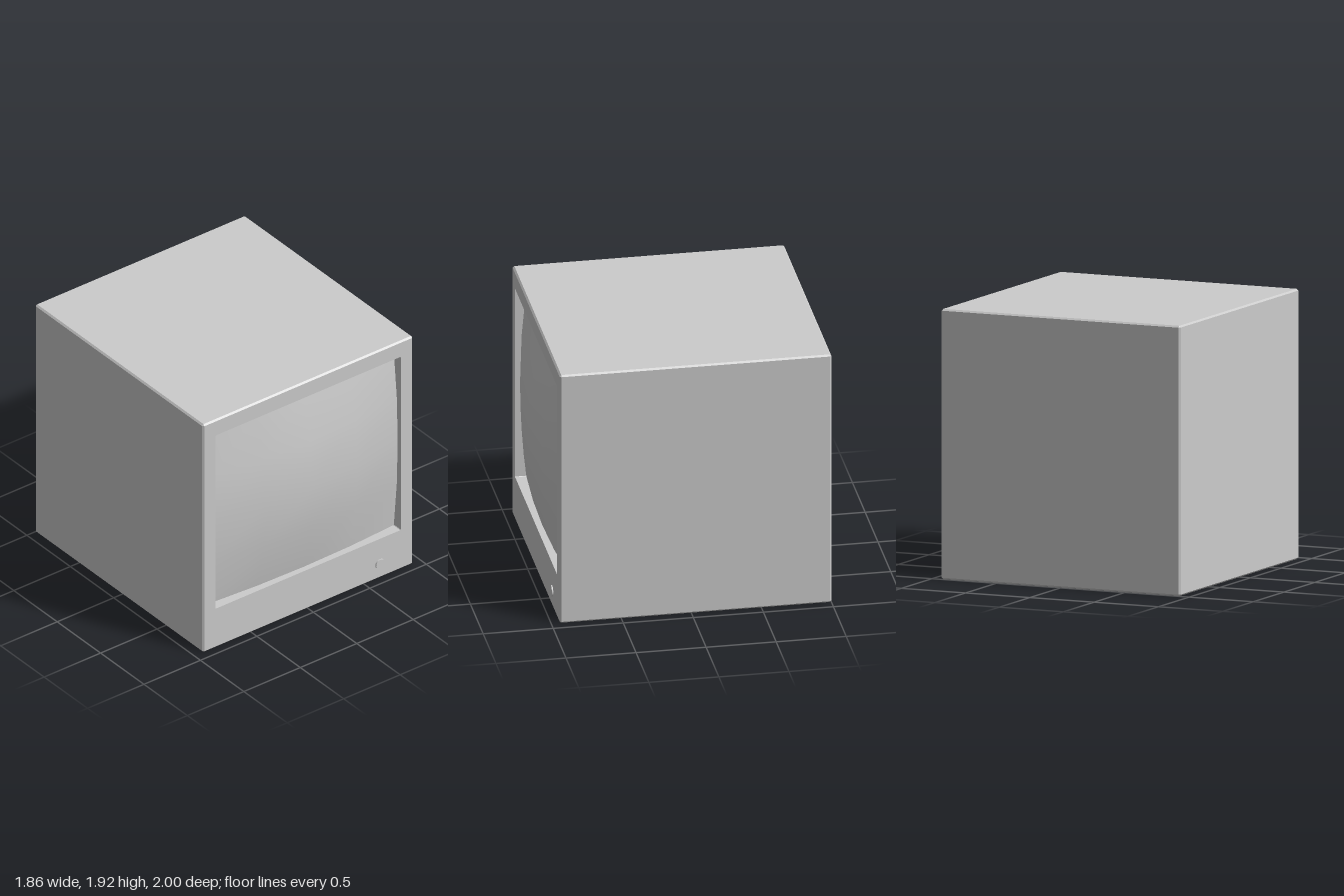
import * as THREE from 'three';

const grey = new THREE.MeshStandardMaterial({ color: 0xcccccc });

// Rectangle section with its four corners cut by c, counterclockwise from the front
function ring(w, h, c, cy, z) {
  return [
    [w, h - c], [w - c, h], [c - w, h], [-w, h - c],
    [-w, c - h], [c - w, -h], [w - c, -h], [w, c - h],
  ].map(([x, y]) => new THREE.Vector3(x, y + cy, z));
}

// Flat-faced skin over successive sections, closed at the first one
function loft(rings) {
  const pos = [];
  const tri = (a, b, c) => {
    const area = b.clone().sub(a).cross(c.clone().sub(a)).length();
    if (area > 1e-9) pos.push(...a, ...b, ...c);
  };
  for (let k = 0; k < rings.length - 1; k++) {
    const a = rings[k], b = rings[k + 1];
    for (let i = 0; i < 8; i++) {
      const j = (i + 1) % 8;
      tri(a[i], a[j], b[j]);
      tri(a[i], b[j], b[i]);
    }
  }
  for (let i = 1; i < 7; i++) tri(rings[0][0], rings[0][i + 1], rings[0][i]);
  const geo = new THREE.BufferGeometry();
  geo.setAttribute('position', new THREE.Float32BufferAttribute(pos, 3));
  geo.computeVertexNormals();
  return geo;
}

export function createModel() {
  const model = new THREE.Group();
  const add = (name, geo) => {
    const mesh = new THREE.Mesh(geo, grey);
    mesh.name = name;
    model.add(mesh);
    return mesh;
  };

  // Chamfered cabinet, with the front opening folded inwards
  const W = 0.93, H = 0.96, C = 0.012, back = -1, front = 0.94;
  const openW = 0.82, openH = 0.73, openY = 1.06;
  add('cabinet', loft([
    ring(W - C, H - C, 0, H, back),
    ring(W, H, C, H, back + C),
    ring(W, H, C, H, front - C),
    ring(W - C, H - C, 0, H, front),
    ring(openW, openH, 0.004, openY, front),
    ring(openW, openH, 0.004, openY, 0.84),
  ]));

  // Bulging screen
  const screen = new THREE.PlaneGeometry(openW * 2, openH * 2, 4, 4);
  const p = screen.attributes.position;
  for (let i = 0; i < p.count; i++) {
    const u = 1 - (p.getX(i) / openW) ** 2;
    const v = 1 - (p.getY(i) / openH) ** 2;
    p.setZ(i, 0.86 + 0.035 * u + 0.045 * v + 0.06 * u * v);
  }
  screen.computeVertexNormals();
  add('screen', screen).position.y = openY;

  // Power button
  const button = new THREE.CylinderGeometry(0.04, 0.04, 0.03, 32).rotateX(Math.PI / 2);
  add('powerButton', button).position.set(0.635, 0.12, front - 0.005);

  return model;
}
